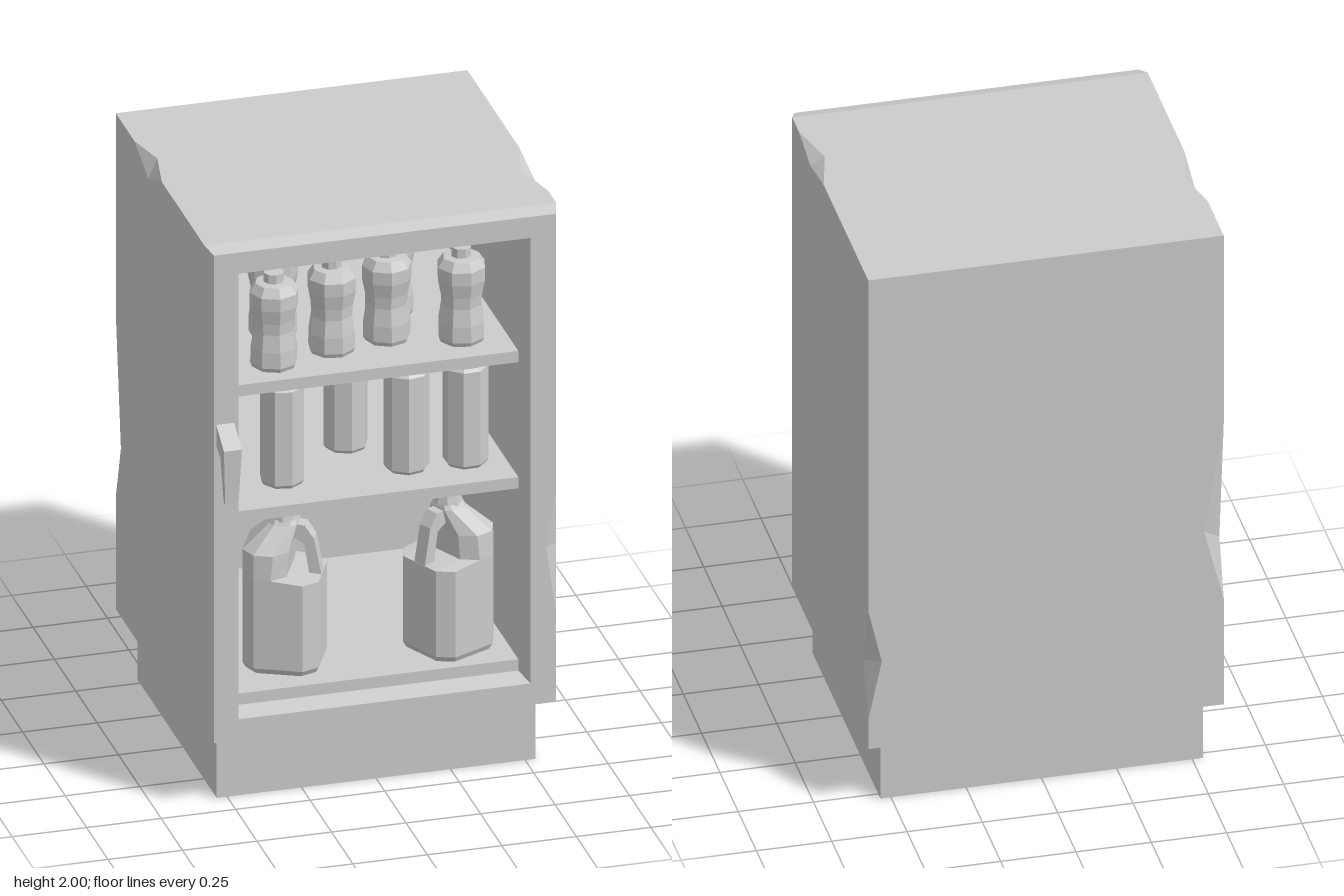
import * as THREE from 'three';

const material = new THREE.MeshStandardMaterial({ color: 0xcccccc, flatShading: true, side: THREE.DoubleSide });

function add(parent, geometry, name, x = 0, y = 0, z = 0) {
  const mesh = new THREE.Mesh(geometry, material);
  mesh.name = name;
  mesh.position.set(x, y, z);
  parent.add(mesh);
  return mesh;
}

function box(parent, name, x0, x1, y0, y1, z0, z1) {
  return add(parent, new THREE.BoxGeometry(x1 - x0, y1 - y0, z1 - z0), name,
    (x0 + x1) / 2, (y0 + y1) / 2, (z0 + z1) / 2);
}

function fromTriangles(out) {
  const geometry = new THREE.BufferGeometry();
  geometry.setAttribute('position', new THREE.Float32BufferAttribute(out, 3));
  geometry.computeVertexNormals();
  return geometry;
}

// Fill a flat polygon (with an optional hole) so that it faces along dir.
function face(out, dir, pts, hole = []) {
  const size = dir.map(Math.abs), drop = size.indexOf(Math.max(...size));
  const flat = (p) => new THREE.Vector2(...p.filter((_, i) => i !== drop));
  const all = [...pts, ...hole].map((p) => new THREE.Vector3(...p));
  const tris = THREE.ShapeUtils.triangulateShape(pts.map(flat), hole.length ? [hole.map(flat)] : []);
  for (const [i, j, k] of tris) {
    const [a, b, c] = [all[i], all[j], all[k]];
    const n = b.clone().sub(a).cross(c.clone().sub(a));
    const order = n.dot(new THREE.Vector3(...dir)) < 0 ? [a, c, b] : [a, b, c];
    order.forEach((p) => out.push(p.x, p.y, p.z));
  }
}

const rect = (x, y0, y1, z) => [[-x, y0, z], [x, y0, z], [x, y1, z], [-x, y1, z]];

// Strips joining two rectangles, facing toward or away from the middle (sign).
function strips(out, r, s, sign, skip = -1) {
  const dirs = [[0, -1, 0], [1, 0, 0], [0, 1, 0], [-1, 0, 0]];
  dirs.forEach((d, i) => {
    const j = (i + 1) % 4;
    if (i !== skip) face(out, d.map((v) => v * sign), [r[i], r[j], s[j], s[i]]);
  });
}

function cabinet() {
  const out = [], W = 0.59, B = 0.23, T = 2, F = 0.45, K = -0.59;
  // Chipped edges: two ends on the edge, and one dent point on each adjoining face.
  const chips = {
    topRight: { p: [W, T, 0.02], q: [W, T, 0.36], a: [0.545, T, 0.19], b: [W, 1.965, 0.2], d: [1, 1, 0] },
    topLeft: { p: [-W, T, -0.37], q: [-W, T, -0.05], a: [-0.555, T, -0.225], b: [-W, 1.94, -0.21], d: [-1, 1, 0] },
    backRight: { p: [W, 0.34, K], q: [W, 0.75, K], a: [0.545, 0.555, K], b: [W, 0.53, -0.525], d: [1, 0, -1] },
    backLeft: { p: [-W, 0.63, K], q: [-W, 1.29, K], a: [-0.525, 0.89, K], b: [-W, 0.83, -0.53], d: [-1, 0, -1] },
    front: { p: [0.573, 0.58, 0.5], q: [0.573, 0.98, 0.5], a: [0.542, 0.8, 0.5], b: [0.5805, 0.8, 0.478], d: [1, 0, 1] },
  };
  for (const { p, q, a, b, d } of Object.values(chips)) {
    face(out, d, [p, a, b]);
    face(out, d, [q, a, b]);
  }
  const run = (c, key) => [c.p, c[key], c.q];
  const back = (c, key) => [c.q, c[key], c.p];
  const { topRight, topLeft, backRight, backLeft, front } = chips;
  // Outer walls
  face(out, [0, 1, 0], [[-W, T, K], ...run(topLeft, 'a'), [-W, T, F], [W, T, F], ...back(topRight, 'a'), [W, T, K]]);
  face(out, [0, -1, 0], [[-W, B, K], [W, B, K], [W, B, F], [-W, B, F]]);
  face(out, [1, 0, 0], [[W, B, K], ...run(backRight, 'b'), [W, T, K], ...run(topRight, 'b'), [W, T, F], [W, B, F]]);
  face(out, [-1, 0, 0], [[-W, B, K], ...run(backLeft, 'b'), [-W, T, K], ...run(topLeft, 'b'), [-W, T, F], [-W, B, F]]);
  face(out, [0, 0, -1], [[-W, B, K], [W, B, K], ...run(backRight, 'a'), [W, T, K], [-W, T, K], ...back(backLeft, 'a')]);
  // Bevelled front with its opening
  const rim = rect(0.573, 0.245, 1.985, 0.5), opening = rect(0.49, 0.32, 1.91, 0.5);
  strips(out, rect(W, B, T, F), rim, 1, 1);
  face(out, [1, 0, 0.3], [[W, T, F], [W, B, F], rim[1], ...run(front, 'b'), rim[2]]);
  face(out, [0, 0, 1], [rim[0], rim[1], ...run(front, 'a'), rim[2], rim[3]], opening);
  // Sloping reveal and the inside of the cabinet
  const mouth = rect(0.47, 0.335, 1.9, 0.43), rear = rect(0.47, 0.335, 1.9, -0.48);
  strips(out, opening, mouth, -1);
  strips(out, mouth, rear, -1);
  face(out, [0, 0, 1], rear);
  return fromTriangles(out);
}

const lathe = (profile) => new THREE.LatheGeometry(profile.map(([r, y]) => new THREE.Vector2(r, y)), 8);

function extrude(points, depth) {
  const shape = new THREE.Shape(points.map(([x, y]) => new THREE.Vector2(x, y)));
  return new THREE.ExtrudeGeometry(shape, { depth, bevelEnabled: false });
}

// Chamfered rectangular sections [y, x0, x1, halfDepth] joined upward.
function loft(levels) {
  const rings = levels.map(([y, x0, x1, w]) => {
    const c = w * 0.36;
    return [[x1, w - c], [x1, c - w], [x1 - c, -w], [x0 + c, -w], [x0, c - w], [x0, w - c], [x0 + c, w], [x1 - c, w]]
      .map(([x, z]) => [x, y, z]);
  });
  const out = [];
  for (let i = 0; i + 1 < rings.length; i++) {
    for (let j = 0; j < 8; j++) {
      const k = (j + 1) % 8, r = rings[i], s = rings[i + 1];
      out.push(...r[j], ...r[k], ...s[k], ...r[j], ...s[k], ...s[j]);
    }
  }
  return fromTriangles(out);
}

function jug(parent, x, z, turn) {
  const g = new THREE.Group();
  g.name = 'jug';
  add(g, loft([[0, -0.115, 0.115, 0.115], [0.02, -0.125, 0.125, 0.125], [0.325, -0.125, 0.125, 0.125],
    [0.335, -0.125, 0.02, 0.125], [0.42, -0.125, 0.025, 0.12], [0.5, -0.045, 0.045, 0.05], [0.515, -0.04, 0.04, 0.04]]), 'jugBody');
  add(g, extrude([[0.02, 0.5], [0.07, 0.495], [0.1, 0.45], [0.125, 0.32], [0.085, 0.32], [0.068, 0.43], [0.02, 0.46]], 0.05),
    'jugHandle', 0, 0, -0.025);
  add(g, new THREE.CylinderGeometry(0.036, 0.048, 0.055, 8), 'jugCap', 0, 0.5375, 0);
  g.position.set(x, 0.375, z);
  g.rotation.y = turn;
  parent.add(g);
}

export function createModel() {
  const model = new THREE.Group();
  model.name = 'displayFridge';

  add(model, cabinet(), 'cabinet');
  box(model, 'base', -0.535, 0.535, 0, 0.23, -0.53, 0.4);
  box(model, 'ceilingUnit', -0.47, -0.015, 1.84, 1.9, -0.48, -0.1);
  for (const y of [0.335, 0.985, 1.435]) box(model, 'shelf', -0.47, 0.47, y, y + 0.04, -0.48, 0.425);

  // Door handle, tapering toward its lower end
  const grip = extrude([[0.5, 1.38], [0.59, 1.325], [0.578, 1.13], [0.56, 1.13], [0.548, 1.285], [0.5, 1.305]], 0.06);
  grip.rotateY(-Math.PI / 2);
  const pos = grip.attributes.position;
  for (let i = 0; i < pos.count; i++) {
    if (pos.getY(i) < 1.2) pos.setX(i, -0.03 + (pos.getX(i) + 0.03) * 0.75);
  }
  add(model, grip, 'doorHandle', -0.505);

  // Bottles on the top shelf
  const bottle = lathe([[0, 0], [0.072, 0], [0.079, 0.015], [0.078, 0.07], [0.069, 0.13], [0.072, 0.17], [0.082, 0.22],
    [0.082, 0.265], [0.062, 0.295], [0.034, 0.298], [0.034, 0.33], [0, 0.33]]);
  [[-0.315, 0.3], [-0.255, 0.08], [-0.105, 0.245], [0.09, 0.21], [0.15, 0.03], [0.32, 0.28]].forEach(([x, z], i) => {
    add(model, bottle, 'bottle', x, 1.475, z).rotation.y = i * 0.5;
  });

  // Cans on the middle shelf
  const can = lathe([[0, 0], [0.066, 0], [0.074, 0.012], [0.074, 0.345], [0.064, 0.355], [0.064, 0.37], [0, 0.37]]);
  [[-0.27, 0.24], [0, 0.04], [0.145, 0.25], [0.34, 0.26]].forEach(([x, z], i) => {
    add(model, can, 'can', x, 1.025, z).rotation.y = 0.2 + i * 0.6;
  });

  // Jugs on the bottom shelf
  jug(model, -0.255, 0.22, -0.45);
  jug(model, 0.285, 0.25, Math.PI + 0.45);

  return model;
}
